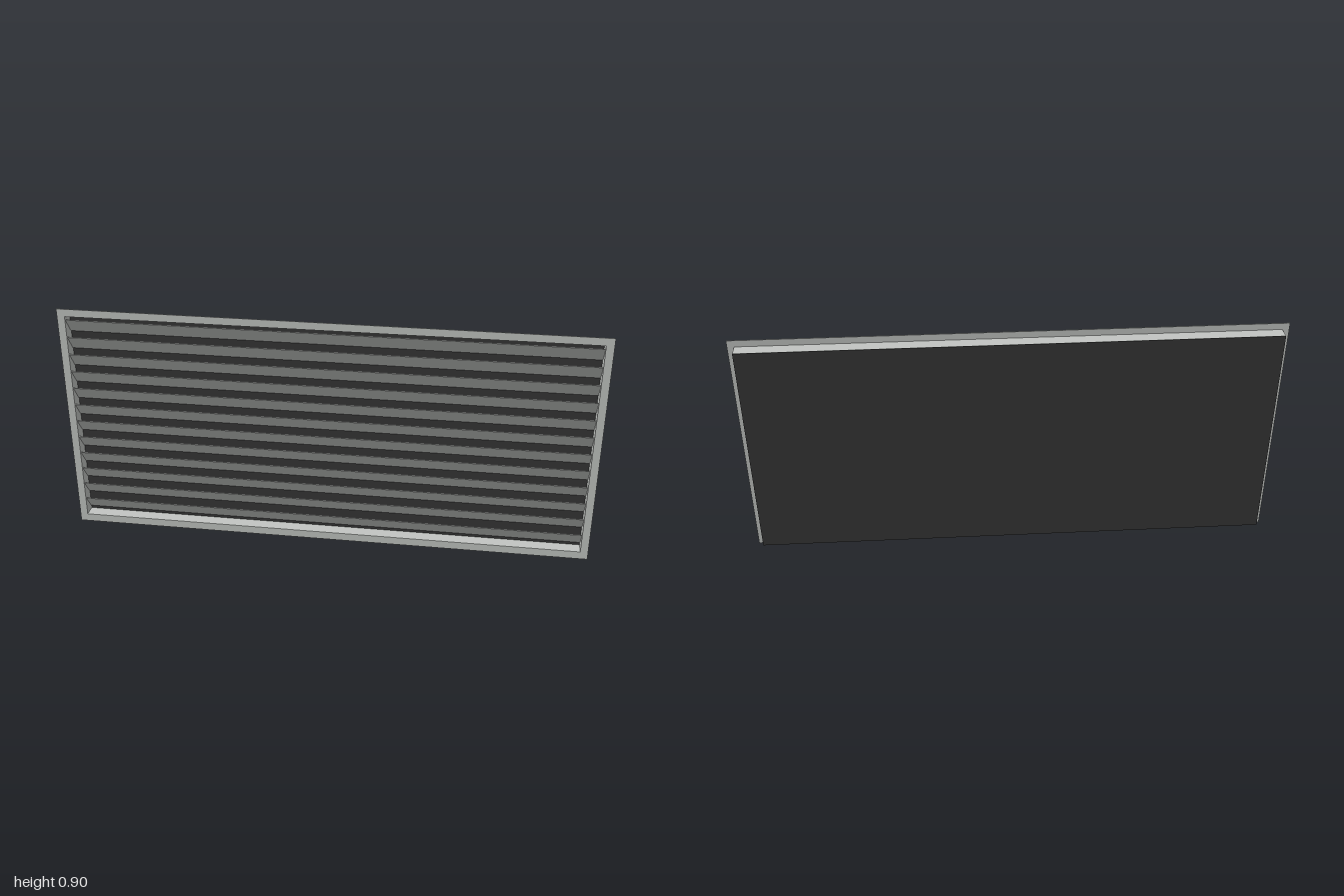
import * as THREE from 'three';

export function createModel() {
  const model = new THREE.Group();
  model.name = 'ventGrille';

  const metal = new THREE.MeshStandardMaterial({ color: 0xc2c5c2 });
  metal.name = 'light grey metal';
  const dark = new THREE.MeshStandardMaterial({ color: 0x363636 });
  dark.name = 'dark backing';

  const H = 0.905;                       // overall height
  const halfW = 0.975, y0 = 0.027, y1 = 0.88; // collar outline
  const front = 0.027, back = -0.026, wall = 0.004;
  const midY = (y0 + y1) / 2;

  function rectPath(PathType, x, bottom, top) {
    const p = new PathType();
    p.moveTo(-x, bottom);
    p.lineTo(x, bottom);
    p.lineTo(x, top);
    p.lineTo(-x, top);
    p.closePath();
    return p;
  }

  // Rectangular ring extruded from zBack to zFront
  function addRing(name, x, bottom, top, hole, zBack, zFront) {
    const shape = rectPath(THREE.Shape, x, bottom, top);
    shape.holes.push(rectPath(THREE.Path, ...hole));
    const geo = new THREE.ExtrudeGeometry(shape, { depth: zFront - zBack, bevelEnabled: false });
    const mesh = new THREE.Mesh(geo, metal);
    mesh.name = name;
    mesh.position.z = zBack;
    model.add(mesh);
  }

  const opening = [halfW - wall, y0 + wall, y1 - wall];
  addRing('frontFlange', 1, 0, H, opening, front - 0.003, front);
  addRing('collar', halfW, y0, y1, opening, back + 0.002, front - 0.003);

  // Backing sheet closing the collar
  const panel = new THREE.Mesh(new THREE.BoxGeometry(halfW * 2, y1 - y0, 0.003), dark);
  panel.name = 'backPanel';
  panel.position.set(0, midY, back + 0.0015);
  model.add(panel);

  // Sloping slats, upper edge forward
  const slats = new THREE.Group();
  slats.name = 'slats';
  const count = 12, pitch = 0.069, rise = 0.057, run = 0.041;
  const slatGeo = new THREE.BoxGeometry((halfW - wall) * 2, Math.hypot(rise, run), 0.003);
  for (let i = 0; i < count; i++) {
    const slat = new THREE.Mesh(slatGeo, metal);
    slat.name = 'slat' + (i + 1);
    slat.position.set(0, midY + (i - (count - 1) / 2) * pitch, 0.001);
    slat.rotation.x = Math.atan2(run, rise);
    slats.add(slat);
  }
  model.add(slats);

  return model;
}
